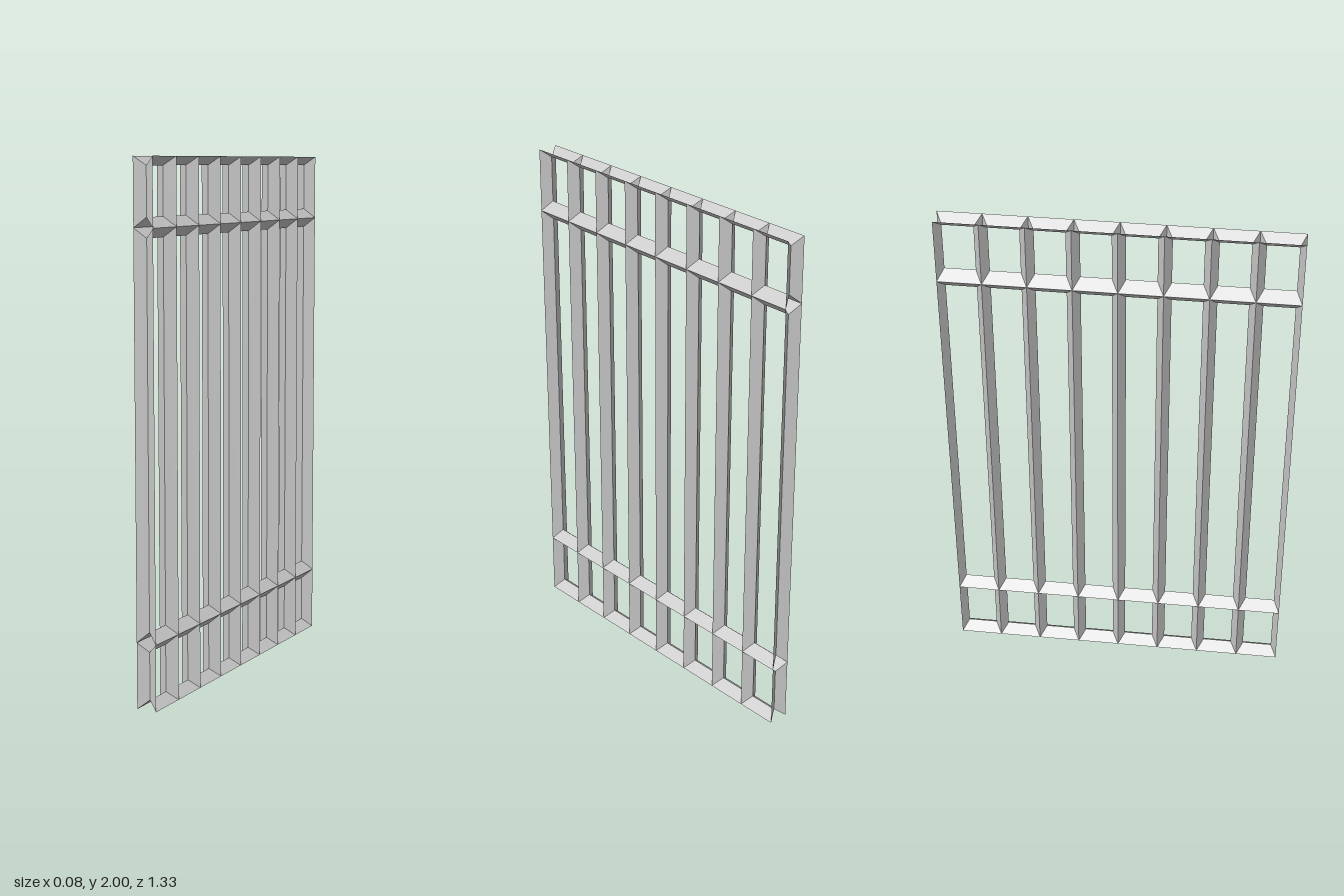
import * as THREE from 'three';

const HALF_DEPTH = 0.04; // bars reach this far to either side of the middle plane
const COLUMNS = 8;
const HALF_WIDTH = 0.667;
const ROWS = [0, 0.25, 1.75, 2]; // heights of the rails
const ROW_NAMES = ['lowerPanelFrame', 'middlePanelFrame', 'upperPanelFrame'];

// Outline of one opening at depth x, as corners in order
function outline(x, z0, z1, y0, y1) {
  return [[x, y0, z0], [x, y0, z1], [x, y1, z1], [x, y1, z0]];
}

// Mitred bevelled frame around one opening: wide at both faces, narrow in the middle
function frameGeometry(z0, z1, y0, y1) {
  // bars on the border of the grating are slightly slimmer
  const insetZ = z => (Math.abs(z) > HALF_WIDTH - 0.01 ? 0.024 : 0.026);
  const insetY = y => (y === 0 || y === 2 ? 0.033 : 0.037);
  const loops = [
    outline(HALF_DEPTH, z0, z1, y0, y1),
    outline(0, z0 + insetZ(z0), z1 - insetZ(z1), y0 + insetY(y0), y1 - insetY(y1)),
    outline(-HALF_DEPTH, z0, z1, y0, y1),
  ];
  const points = [];
  for (let l = 0; l < 2; l++) {
    for (let i = 0; i < 4; i++) {
      const j = (i + 1) % 4;
      const a = loops[l][i], b = loops[l][j];
      const c = loops[l + 1][i], d = loops[l + 1][j];
      points.push(...a, ...c, ...b, ...b, ...c, ...d);
    }
  }
  const geometry = new THREE.BufferGeometry();
  geometry.setAttribute('position', new THREE.Float32BufferAttribute(points, 3));
  geometry.computeVertexNormals();
  return geometry;
}

export function createModel() {
  const model = new THREE.Group();
  model.name = 'barredGrating';
  const material = new THREE.MeshStandardMaterial({
    color: 0xcccccc, flatShading: true, side: THREE.DoubleSide,
  });
  const step = (2 * HALF_WIDTH) / COLUMNS;

  // Neighbouring frames meet back to back, forming hollow diamond bars and rails
  ROW_NAMES.forEach((name, r) => {
    const row = new THREE.Group();
    row.name = name;
    for (let c = 0; c < COLUMNS; c++) {
      const z0 = -HALF_WIDTH + c * step;
      const frame = new THREE.Mesh(frameGeometry(z0, z0 + step, ROWS[r], ROWS[r + 1]), material);
      frame.name = `openingFrame${c + 1}`;
      row.add(frame);
    }
    model.add(row);
  });
  return model;
}
